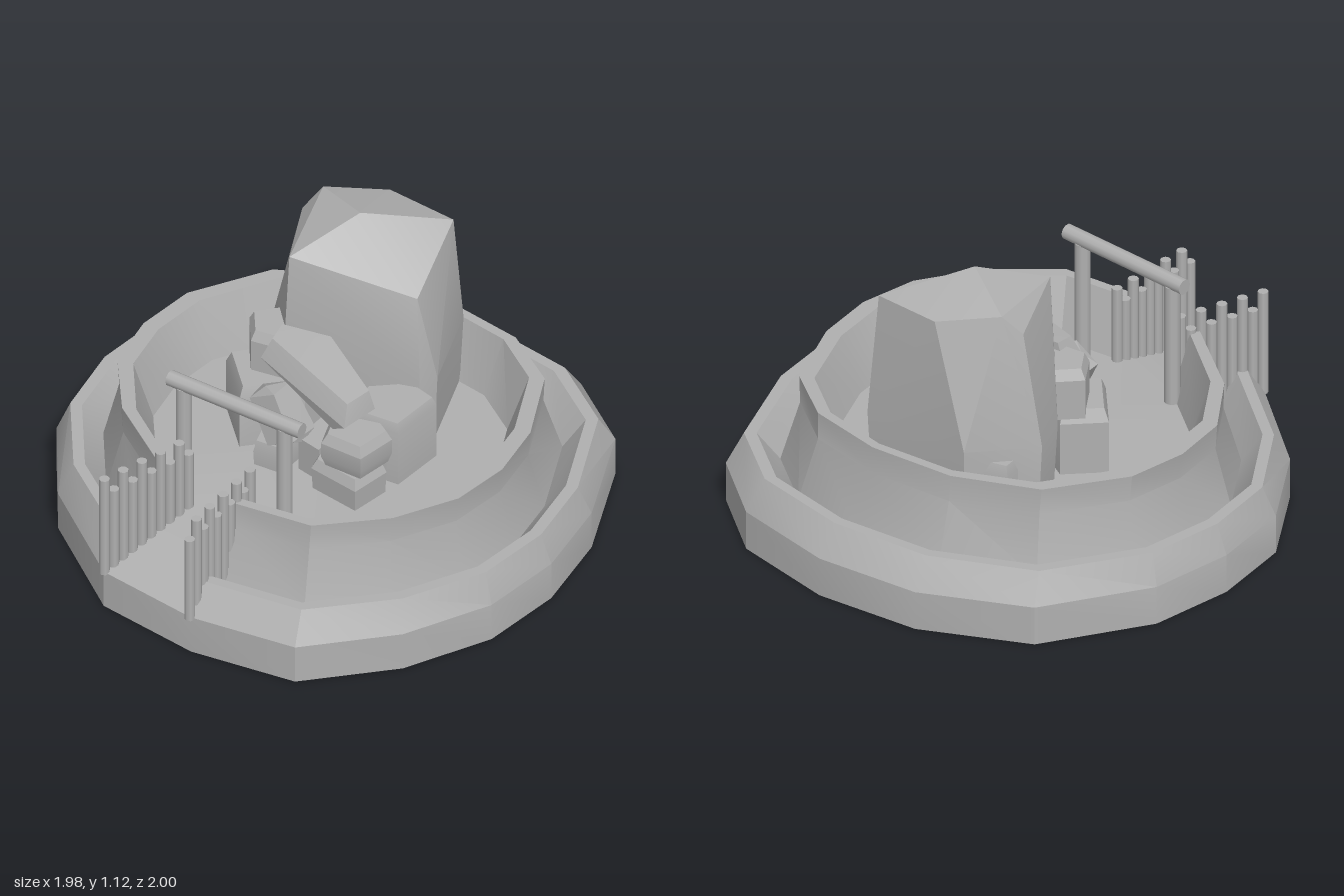
import * as THREE from 'three';
import { toCreasedNormals } from 'three/addons/utils/BufferGeometryUtils.js';
import { ConvexGeometry } from 'three/addons/geometries/ConvexGeometry.js';

const stone = new THREE.MeshStandardMaterial({ color: 0xb0b0b0, side: THREE.DoubleSide });
stone.name = 'grey stone';

// Sixteen-cornered plan of the mound, clockwise from the back (x, z)
const PLAN = [
  [0.08, -1], [0.49, -0.94], [0.77, -0.74], [0.94, -0.33], [0.985, 0], [0.94, 0.32], [0.77, 0.64], [0.49, 0.92],
  [0.08, 0.98], [-0.33, 0.93], [-0.72, 0.64], [-0.94, 0.32], [-0.99, 0], [-0.95, -0.33], [-0.72, -0.73], [-0.33, -0.94],
];
// Terrace cross-section from the outside in: x scale, z scale, height
const PROFILE = [
  [1, 1, 0], [1, 1, 0.155], [0.955, 0.92, 0.27], [0.91, 0.88, 0.27], [0.83, 0.8, 0.16],
  [0.775, 0.72, 0.39], [0.785, 0.715, 0.495], [0.72, 0.68, 0.495], [0.645, 0.605, 0.27],
];
const GATE = 8; // plan side left open for the ramp

function corner(i, p) {
  const [x, z] = PLAN[i % 16];
  const [sx, sz, y] = PROFILE[p];
  return [x === 0.08 ? x : x * sx, y, z * sz];
}

// Two ring walls, the entrance ramp and the inner floor as one shell
function moundGeometry() {
  const pos = [];
  const last = PROFILE.length - 1;
  for (let i = 0; i < 16; i++) {
    const steps = i === GATE ? [0, 1, last] : PROFILE.map((_, k) => k);
    for (let s = 0; s < steps.length - 1; s++) {
      const a = corner(i, steps[s]), b = corner(i + 1, steps[s]);
      const c = corner(i + 1, steps[s + 1]), d = corner(i, steps[s + 1]);
      pos.push(...a, ...d, ...c, ...a, ...c, ...b);
    }
    pos.push(...corner(i, last), 0, 0.27, 0, ...corner(i + 1, last));
  }
  const g = new THREE.BufferGeometry();
  g.setAttribute('position', new THREE.Float32BufferAttribute(pos, 3));
  return toCreasedNormals(g, 0.42);
}

export function createModel() {
  const model = new THREE.Group();
  model.name = 'stoneShrineMound';

  function add(name, geometry, parent = model) {
    const m = new THREE.Mesh(geometry, stone);
    m.name = name;
    parent.add(m);
    return m;
  }
  const hull = (pts) => toCreasedNormals(new ConvexGeometry(pts.map((p) => new THREE.Vector3(...p))), 0.35);

  // Faceted stone: a plan outline repeated at [height, scale] levels
  function rock(name, outline, levels) {
    const cx = outline.reduce((s, p) => s + p[0], 0) / outline.length;
    const cz = outline.reduce((s, p) => s + p[1], 0) / outline.length;
    const pts = [];
    for (const [y, s] of levels) {
      for (const [x, z] of outline) pts.push([cx + (x - cx) * s, y, cz + (z - cz) * s]);
    }
    return add(name, hull(pts));
  }

  add('terracedMound', moundGeometry());

  // Tall standing boulder
  const foot = [[-0.2, -0.04], [0.29, -0.19], [0.32, -0.26], [0.2, -0.61], [-0.25, -0.59], [-0.43, -0.37], [-0.37, -0.22]];
  add('tallBoulder', hull([
    ...foot.map(([x, z]) => [x, 0.55, z]),
    ...foot.map(([x, z]) => [x * 0.95, 0.22, -0.33 + (z + 0.33) * 0.95]),
    [-0.18, 1.02, -0.05], [0.24, 0.88, -0.25], [0.19, 1.02, -0.56], [-0.04, 1.12, -0.3],
    [-0.28, 1.06, -0.42], [-0.33, 0.98, -0.36], [-0.09, 1.03, -0.57],
  ]));

  // Long capstone lying across the smaller stones
  add('capstone', hull([
    [-0.19, 0.73, -0.02], [0, 0.735, -0.05], [0.25, 0.68, 0.08], [0.23, 0.68, 0.19], [-0.18, 0.72, 0.06],
    [-0.21, 0.67, -0.02], [-0.21, 0.64, 0.09], [0.27, 0.6, 0.07], [0.25, 0.61, 0.24],
    [-0.15, 0.61, 0], [-0.15, 0.61, 0.08], [0.18, 0.55, 0.06], [0.18, 0.56, 0.21],
  ]));

  // Supporting stones
  rock('supportStoneUpper', [[0.1, 0.1], [0.3, 0.05], [0.35, 0.08], [0.32, 0.24], [0.15, 0.24]],
    [[0.4, 0.88], [0.44, 1], [0.5, 1], [0.54, 0.82]]);
  rock('supportStoneLower', [[0.06, 0.06], [0.3, 0.04], [0.34, 0.1], [0.31, 0.26], [0.1, 0.23]],
    [[0.25, 0.95], [0.36, 1], [0.4, 0.85]]);
  rock('rightStone', [[0.12, -0.1], [0.25, -0.21], [0.37, -0.18], [0.35, 0.04], [0.12, 0.06]],
    [[0.25, 1], [0.5, 1], [0.535, 0.9]]);
  rock('leftStone', [[-0.42, 0], [-0.3, -0.13], [-0.1, -0.03], [-0.16, 0.08], [-0.25, 0.17]],
    [[0.25, 1], [0.48, 1], [0.53, 0.85]]);
  rock('leftUpperStone', [[-0.36, -0.06], [-0.28, -0.15], [-0.14, -0.1], [-0.16, 0.03], [-0.28, 0.05]],
    [[0.5, 1], [0.66, 1], [0.7, 0.8]]);
  rock('backStone', [[-0.38, -0.5], [-0.26, -0.54], [-0.2, -0.4], [-0.36, -0.36]],
    [[0.25, 1], [0.46, 1], [0.5, 0.85]]);
  rock('frontFootStone', [[-0.19, 0.1], [-0.03, 0.08], [-0.03, 0.22], [-0.15, 0.23]],
    [[0.25, 0.95], [0.33, 1], [0.375, 0.85]]);
  rock('middleStone', [[0, 0], [0.1, 0], [0.1, 0.18], [0, 0.16]], [[0.22, 1], [0.36, 0.85], [0.41, 1]]);

  // Stone leaning under the capstone
  const leaning = add('leaningStone', hull([
    [-0.07, 0.1, -0.06], [0.07, 0.1, -0.06], [-0.06, 0.1, 0.04], [0.06, 0.1, 0.04],
    [-0.07, -0.1, -0.07], [0.07, -0.1, -0.07], [-0.06, -0.09, 0.06], [0.06, -0.09, 0.06],
    [-0.05, -0.12, 0], [0.05, -0.12, 0], [0, 0.12, 0],
  ]));
  leaning.position.set(-0.085, 0.48, 0.16);
  leaning.rotation.z = 0.5;

  // Palisades along both sides of the ramp
  function palisade(name, from, to, count, phase) {
    const row = new THREE.Group();
    row.name = name;
    model.add(row);
    for (let i = 0; i < count; i++) {
      const t = i / (count - 1);
      const top = (i + phase) % 2 ? 0.575 : 0.51;
      const stake = add('stake', new THREE.CylinderGeometry(0.02, 0.02, top - 0.15, 8), row);
      stake.position.set(from[0] + (to[0] - from[0]) * t, (top + 0.15) / 2, from[1] + (to[1] - from[1]) * t);
    }
  }
  palisade('rightPalisade', [-0.33, 0.925], [-0.21, 0.56], 10, 1);
  palisade('leftPalisade', [0.075, 0.98], [0.075, 0.59], 10, 0);

  // Gateway: two posts and a lintel
  for (const x of [-0.26, 0.175]) {
    add('gatePost', new THREE.CylinderGeometry(0.03, 0.03, 0.56, 10)).position.set(x, 0.48, 0.515);
  }
  const lintel = add('gateLintel', new THREE.CylinderGeometry(0.03, 0.03, 0.57, 10));
  lintel.rotation.z = Math.PI / 2;
  lintel.position.set(-0.035, 0.775, 0.515);

  return model;
}
